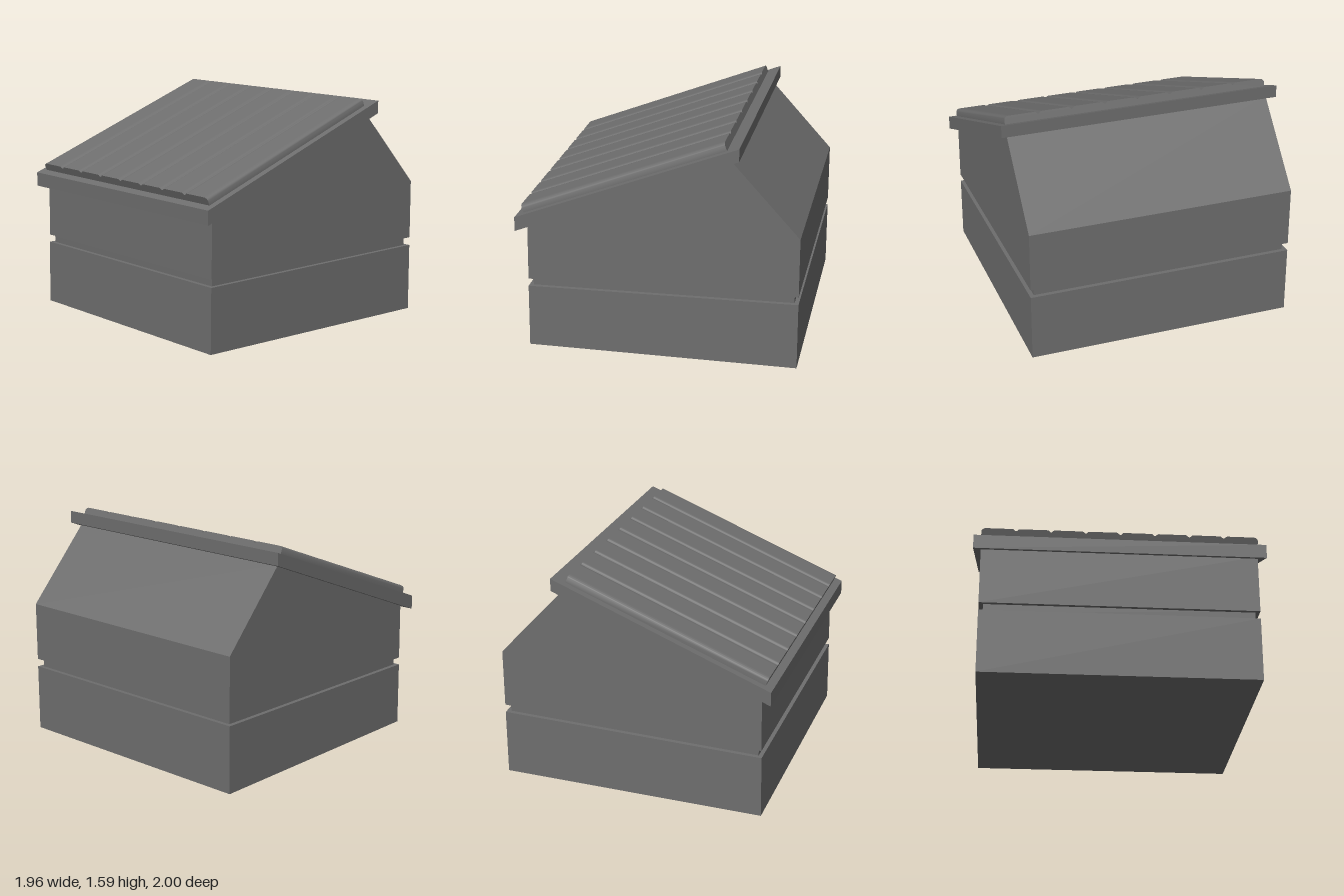
import * as THREE from 'three';
import { toCreasedNormals } from 'three/addons/utils/BufferGeometryUtils.js';

const material = new THREE.MeshStandardMaterial({ color: 0x6e6e6e });

// Side outline in x/y, extruded symmetrically along z
function prism(name, points, halfDepth) {
  const shape = new THREE.Shape(points.map(([x, y]) => new THREE.Vector2(x, y)));
  const geometry = new THREE.ExtrudeGeometry(shape, { depth: 2 * halfDepth, bevelEnabled: false });
  geometry.translate(0, 0, -halfDepth);
  const mesh = new THREE.Mesh(geometry, material);
  mesh.name = name;
  return mesh;
}

// Ribbed panel: flat planks with narrow soft grooves, extruded up the slope
function roofPlanks() {
  const half = 0.95, height = 0.055, planks = 8, pitch = 2 * half / planks;
  const shape = new THREE.Shape();
  shape.moveTo(half, -0.005);
  shape.lineTo(half, height - 0.022);
  shape.quadraticCurveTo(half - 0.006, height - 0.002, half - 0.03, height);
  shape.lineTo(half - 0.04, height);
  for (let i = 1; i < planks; i++) {
    const c = half - i * pitch;
    shape.lineTo(c + 0.036, height);
    shape.lineTo(c + 0.026, height);
    shape.bezierCurveTo(c + 0.012, height, c + 0.012, height - 0.014, c, height - 0.014);
    shape.bezierCurveTo(c - 0.012, height - 0.014, c - 0.012, height, c - 0.026, height);
    shape.lineTo(c - 0.036, height);
  }
  shape.lineTo(-half + 0.04, height);
  shape.lineTo(-half + 0.03, height);
  shape.quadraticCurveTo(-half + 0.006, height - 0.002, -half, height - 0.022);
  shape.lineTo(-half, -0.005);
  const geometry = new THREE.ExtrudeGeometry(shape, { depth: 1.505, bevelEnabled: false, curveSegments: 6 });

  // Local x runs across the roof, y is the roof normal, z points up the slope
  const slope = new THREE.Vector3(1.545, 0.595, 0).normalize();
  const normal = new THREE.Vector3(-slope.y, slope.x, 0);
  const frame = new THREE.Matrix4().makeBasis(new THREE.Vector3(0, 0, -1), normal, slope);
  frame.setPosition(-0.928, 1, 0);
  geometry.applyMatrix4(frame);
  const mesh = new THREE.Mesh(toCreasedNormals(geometry, 0.7), material);
  mesh.name = 'roofPlanks';
  return mesh;
}

export function createModel() {
  const group = new THREE.Group();
  group.name = 'slopedRoofHut';
  group.add(
    // Lower box
    prism('base', [[-0.92, 0], [0.975, 0], [0.975, 0.477], [-0.914, 0.452]], 0.95),
    // Recessed band between the two boxes
    prism('recessedBand', [[-0.885, 0.44], [0.945, 0.46], [0.945, 0.55], [-0.885, 0.52]], 0.92),
    // Upper box with its slanted face, tucked into the roof
    prism('upperBody', [[-0.912, 0.507], [0.975, 0.535], [0.975, 0.953], [0.5, 1.478], [-0.905, 0.925]], 0.95),
    // Overhanging roof slab with upright ends
    prism('roofSlab', [[-0.98, 0.88], [0.565, 1.487], [0.565, 1.575], [-0.98, 0.98]], 1),
    roofPlanks(),
  );
  return group;
}
